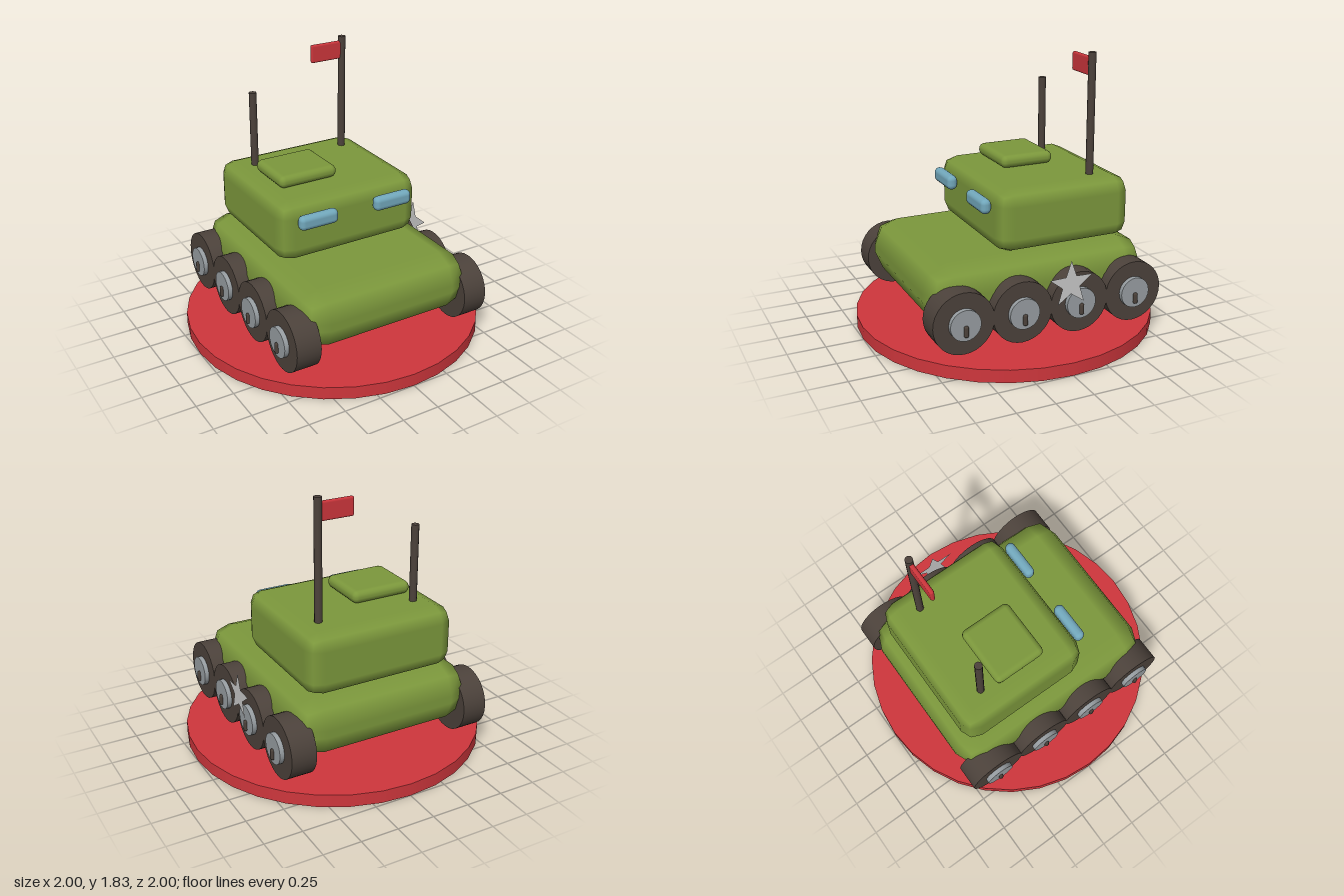
import * as THREE from 'three';
import { RoundedBoxGeometry } from 'three/addons/geometries/RoundedBoxGeometry.js';

const paint = (name, color, side = THREE.FrontSide) => {
  const m = new THREE.MeshStandardMaterial({ color, side });
  m.name = name;
  return m;
};

export function createModel() {
  const model = new THREE.Group();
  model.name = 'toyArmouredVehicle';

  const green = paint('olive green', 0x7c983c);
  const red = paint('red', 0xce363c);
  const dark = paint('dark brown', 0x4c423b);
  const grey = paint('hub grey', 0x979da1);
  const silver = paint('star silver', 0xc8c8c8, THREE.DoubleSide);
  const blue = paint('window blue', 0x72a8bc);

  const add = (name, geometry, material, x, y, z, parent = model) => {
    const mesh = new THREE.Mesh(geometry, material);
    mesh.name = name;
    mesh.position.set(x, y, z);
    parent.add(mesh);
    return mesh;
  };
  const rounded = (w, h, d, r, segments = 1) => new RoundedBoxGeometry(w, h, d, segments, r);

  // Display base
  add('base', new THREE.CylinderGeometry(1, 1, 0.085, 32), red, 0, 0.0425, 0);

  // Body
  add('hull', rounded(1.24, 0.39, 1.52, 0.17), green, 0, 0.435, 0);
  add('cabin', rounded(1.03, 0.41, 0.93, 0.1), green, 0, 0.83, -0.207);
  add('hatch', rounded(0.42, 0.085, 0.37, 0.04, 2), green, -0.175, 1.077, -0.165);

  // Windows just ahead of the cabin
  for (const x of [-0.277, 0.273]) {
    add('window', rounded(0.275, 0.097, 0.07, 0.033, 2), blue, x, 0.927, 0.3);
  }

  // Aerial and flagpole
  const pole = (name, x, top) =>
    add(name, new THREE.CylinderGeometry(0.025, 0.025, top - 1, 12), dark, x, (top + 1) / 2, -0.45);
  pole('aerial', -0.335, 1.545);
  pole('flagpole', 0.345, 1.825);
  add('flag', rounded(0.235, 0.125, 0.03, 0.014), red, 0.222, 1.733, -0.45);

  // Four wheels on each side, with hub and bolt
  const disc = (r, width, sides) => new THREE.CylinderGeometry(r, r, width, sides).rotateZ(Math.PI / 2);
  const tyre = disc(0.2, 0.168, 32);
  const hub = disc(0.1, 0.06, 24);
  const bolt = rounded(0.035, 0.075, 0.03, 0.012);
  for (const side of [-1, 1]) {
    for (const z of [-0.585, -0.195, 0.195, 0.585]) {
      const wheel = new THREE.Group();
      wheel.name = side > 0 ? 'leftWheel' : 'rightWheel';
      wheel.position.set(0, 0.33, z);
      model.add(wheel);
      add('tyre', tyre, dark, side * 0.621, 0, 0, wheel);
      add('hub', hub, grey, side * 0.705, 0, 0, wheel);
      add('bolt', bolt, dark, side * 0.734, -0.037, 0, wheel);
    }
  }

  // Thin star beside the left wheels
  const points = [];
  for (let i = 0; i < 10; i++) {
    const a = Math.PI / 2 + (i * Math.PI) / 5;
    const r = i % 2 ? 0.063 : 0.155;
    points.push(new THREE.Vector2(r * Math.cos(a), r * Math.sin(a)));
  }
  const star = new THREE.ShapeGeometry(new THREE.Shape(points)).rotateY(Math.PI / 2);
  add('star', star, silver, 0.745, 0.475, -0.113);

  return model;
}
